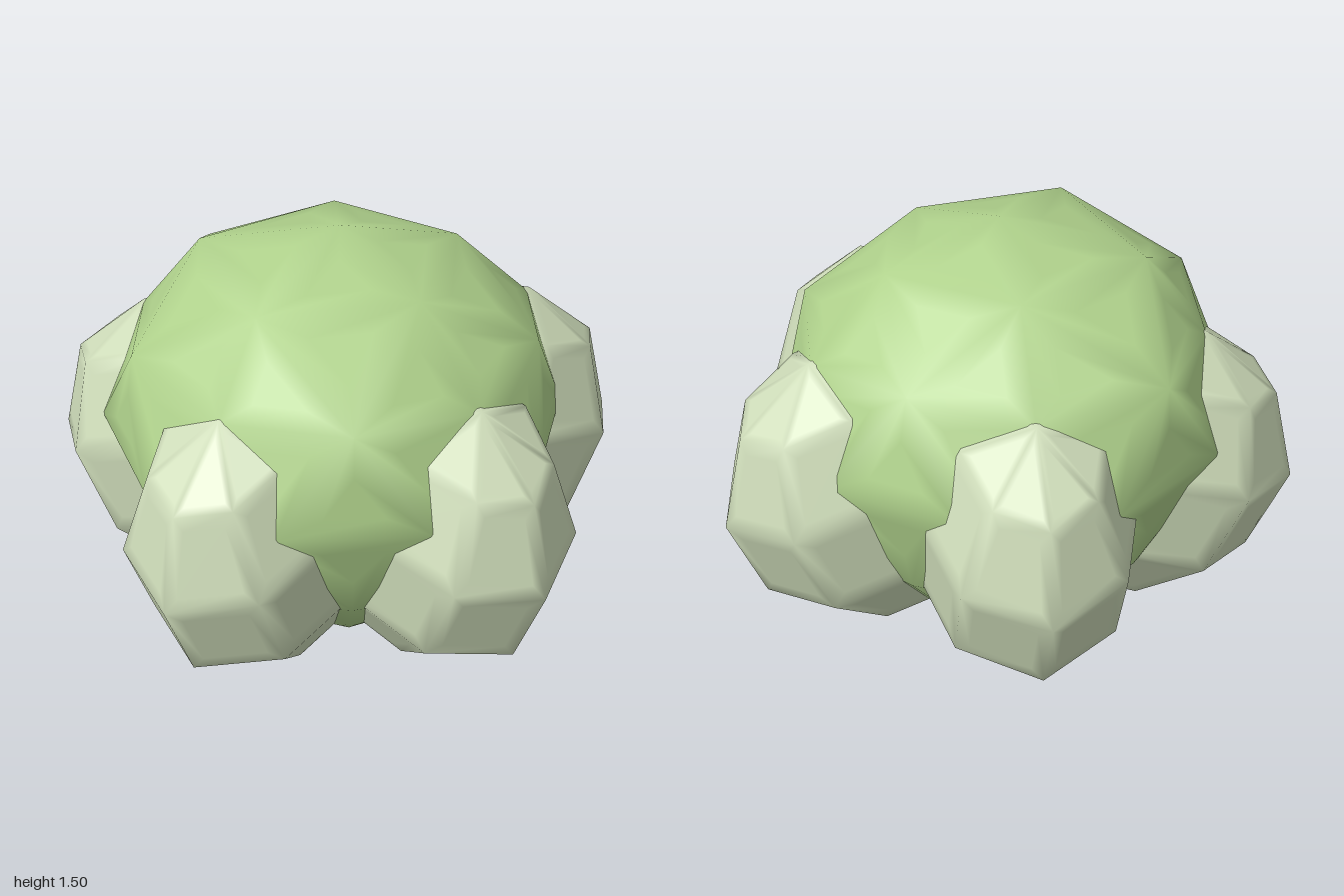
import * as THREE from 'three';
import { ConvexGeometry } from 'three/addons/geometries/ConvexGeometry.js';

const CENTRE_X = -0.08;
const TAU = Math.PI * 2;

const bodyMaterial = new THREE.MeshStandardMaterial({ color: 0xb0d28c });
bodyMaterial.name = 'leaf green';
const lobeMaterial = new THREE.MeshStandardMaterial({ color: 0xcfddba });
lobeMaterial.name = 'pale sage';

// Flat facets with softened edges: each polygon gets a flat inset face
// and a border that blends into the averaged corner normals.
function softFacets(polygons, inset) {
  const key = (p) => p.toArray().map((v) => Math.round(v * 1e4)).join();
  const cornerNormals = new Map();
  const faces = polygons.map((points) => {
    const normal = new THREE.Vector3();
    const middle = new THREE.Vector3();
    points.forEach((p, i) => {
      normal.add(p.clone().cross(points[(i + 1) % points.length]));
      middle.addScaledVector(p, 1 / points.length);
    });
    for (const p of points) {
      const k = key(p);
      if (!cornerNormals.has(k)) cornerNormals.set(k, new THREE.Vector3());
      cornerNormals.get(k).add(normal);
    }
    return { points, middle, normal: normal.normalize() };
  });
  cornerNormals.forEach((n) => n.normalize());

  const position = [];
  const normals = [];
  const add = (...corners) => corners.forEach(([p, n]) => {
    position.push(p.x, p.y, p.z);
    normals.push(n.x, n.y, n.z);
  });
  for (const { points, middle, normal } of faces) {
    const outer = points.map((p) => [p, cornerNormals.get(key(p))]);
    const inner = points.map((p) => [p.clone().lerp(middle, inset), normal]);
    points.forEach((_, i) => {
      const j = (i + 1) % points.length;
      add(outer[i], outer[j], inner[j]);
      add(outer[i], inner[j], inner[i]);
      if (i > 0 && j > 0) add(inner[0], inner[i], inner[j]);
    });
  }
  const geometry = new THREE.BufferGeometry();
  geometry.setAttribute('position', new THREE.Float32BufferAttribute(position, 3));
  geometry.setAttribute('normal', new THREE.Float32BufferAttribute(normals, 3));
  return geometry;
}

// Slightly uneven round body, built as a hull of staggered rings
function bodyGeometry() {
  const points = [new THREE.Vector3(0, 1.495, 0), new THREE.Vector3(0.05, 0, 0)];
  const ring = (startDegrees, y, radii) => radii.forEach((radius, i) => {
    const a = THREE.MathUtils.degToRad(startDegrees) + (i / radii.length) * TAU;
    points.push(new THREE.Vector3(radius * Math.cos(a), y, radius * Math.sin(a)));
  });
  ring(0, 1.38, [0.43, 0.41, 0.5, 0.5, 0.41]);
  ring(0, 1.1, [0.71, 0.71, 0.72, 0.72, 0.71]);
  ring(36, 1.15, [0.69, 0.77, 0.745, 0.77, 0.67]);
  ring(18, 0.78, [0.78, 0.79, 0.84, 0.84, 0.84, 0.84, 0.84, 0.84, 0.81, 0.82]);
  ring(36, 0.38, Array(5).fill(0.66));
  ring(0, 0.33, Array(5).fill(0.66));
  ring(36, 0.11, Array(5).fill(0.42));
  const p = new ConvexGeometry(points).getAttribute('position');
  const triangles = [];
  for (let i = 0; i < p.count; i += 3) {
    triangles.push([0, 1, 2].map((k) => new THREE.Vector3().fromBufferAttribute(p, i + k)));
  }
  return softFacets(triangles, 0.6);
}

// Eight-sided lobe with five bands, outward along +x
function lobeGeometry() {
  const bands = 5, sides = 8;
  const point = (band, side) => {
    const t = (band / bands) * Math.PI;
    const a = (side / sides) * TAU;
    return new THREE.Vector3(
      0.555 * Math.sin(t) * Math.cos(a),
      0.56 * Math.cos(t),
      0.41 * Math.sin(t) * Math.sin(a));
  };
  const polygons = [];
  for (let b = 0; b < bands; b++) {
    for (let s = 0; s < sides; s++) {
      const face = [point(b, s), point(b, s + 1), point(b + 1, s + 1), point(b + 1, s)];
      if (b === 0) face.splice(1, 1);
      if (b === bands - 1) face.splice(2, 1);
      polygons.push(face);
    }
  }
  return softFacets(polygons, 0.3);
}

export function createModel() {
  const model = new THREE.Group();
  model.name = 'lobedPlant';

  const body = new THREE.Mesh(bodyGeometry(), bodyMaterial);
  body.name = 'body';
  body.position.x = CENTRE_X;
  model.add(body);

  // Five lobes evenly around the body, leaning outward at the top
  const geometry = lobeGeometry();
  for (let i = 0; i < 5; i++) {
    const arm = new THREE.Group();
    arm.name = `lobe${i + 1}`;
    arm.position.x = CENTRE_X;
    arm.rotation.y = (i / 5) * TAU;
    const lobe = new THREE.Mesh(geometry, lobeMaterial);
    lobe.name = 'lobeShell';
    lobe.position.set(0.5, 0.595, 0);
    lobe.rotation.z = THREE.MathUtils.degToRad(-23);
    arm.add(lobe);
    model.add(arm);
  }
  return model;
}
